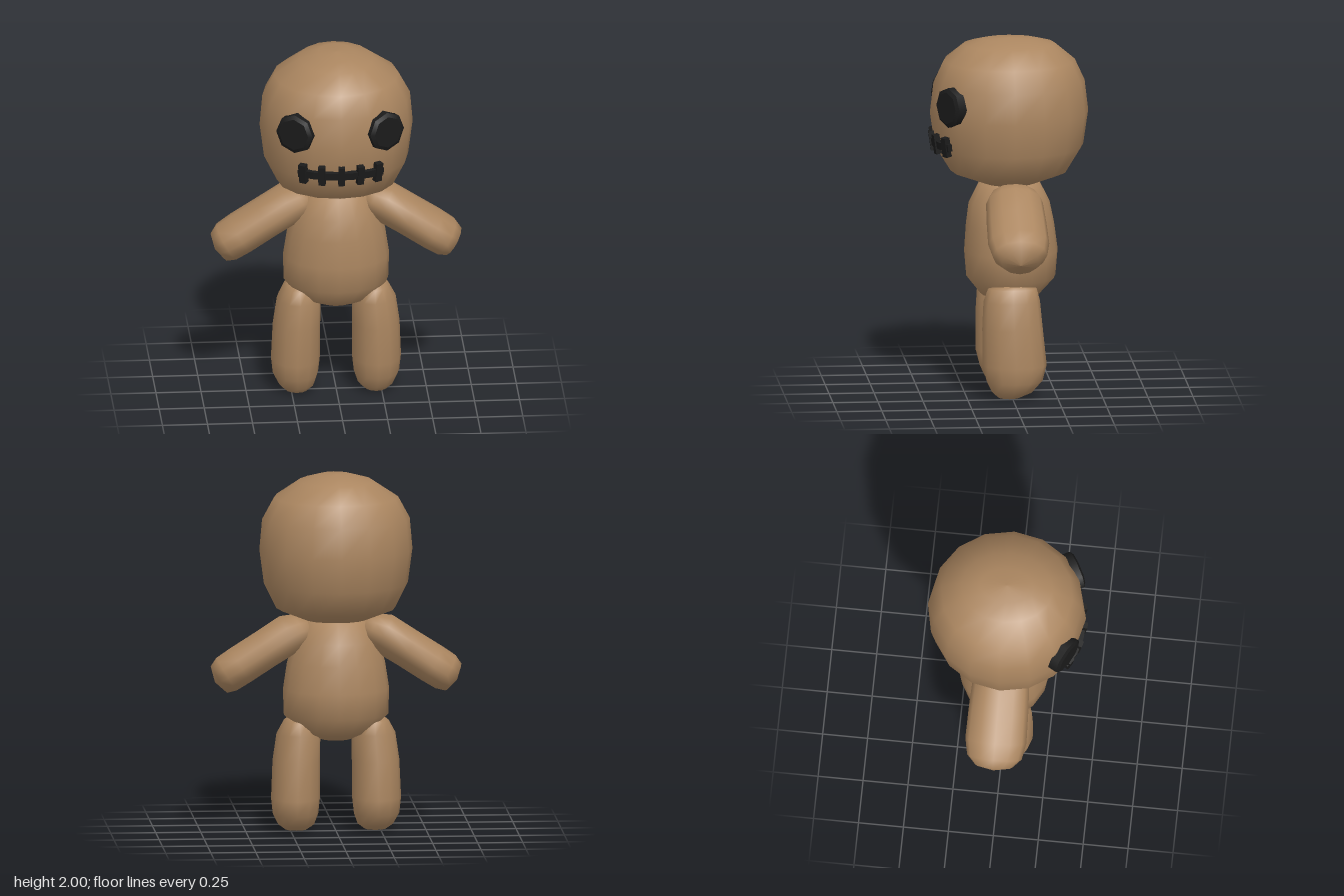
import * as THREE from 'three';

const burlap = new THREE.MeshStandardMaterial({ color: 0xab8660 });
burlap.name = 'burlap brown';
const black = new THREE.MeshStandardMaterial({ color: 0x1b1b1b });
black.name = 'button black';

// Smooth closed skin over elliptical rings [x, y, z, radius, depthRadius, tilt]
function loft(rings, sides) {
  const pos = [], index = [];
  for (const [x, y, z, ru, rv, tilt = 0] of rings) {
    for (let j = 0; j < sides; j++) {
      const t = (j / sides) * Math.PI * 2;
      const u = ru * Math.cos(t);
      pos.push(x + u * Math.cos(tilt), y + u * Math.sin(tilt), z + rv * Math.sin(t));
    }
  }
  const last = rings.length - 1;
  for (let i = 0; i < last; i++) {
    for (let j = 0; j < sides; j++) {
      const k = (j + 1) % sides;
      const a = i * sides + j, b = i * sides + k;
      index.push(a, a + sides, b, b, a + sides, b + sides);
    }
  }
  const geo = new THREE.BufferGeometry();
  geo.setAttribute('position', new THREE.Float32BufferAttribute(pos, 3));
  geo.setIndex(index);
  geo.computeVertexNormals();
  return geo;
}

function add(parent, name, geo, mat) {
  const mesh = new THREE.Mesh(geo, mat);
  mesh.name = name;
  parent.add(mesh);
  return mesh;
}

export function createModel() {
  const doll = new THREE.Group();
  doll.name = 'ragDoll';

  // Head: round sack, slightly flattened behind each button eye
  const head = loft([
    [0, 1.178, 0, 0, 0], [0, 1.185, 0, 0.17, 0.15], [0, 1.25, 0, 0.33, 0.325],
    [0, 1.39, 0, 0.4, 0.412], [0, 1.58, 0, 0.425, 0.44], [0, 1.75, 0, 0.41, 0.42],
    [0, 1.87, 0, 0.345, 0.365], [0, 1.962, 0, 0.205, 0.255], [0, 1.99, 0, 0.1, 0.15],
    [0, 2, 0, 0, 0],
  ], 16);
  const p = head.attributes.position;
  for (let i = 0; i < p.count; i++) {
    const x = p.getX(i), z = p.getZ(i);
    const over = Math.abs(x) * 0.5 + z * 0.866 - 0.418;
    if (over > 0 && Math.abs(x) > 0.05) p.setXYZ(i, x - Math.sign(x) * over * 0.5, p.getY(i), z - over * 0.866);
  }
  head.computeVertexNormals();
  add(doll, 'head', head, burlap);

  // Pear-shaped body
  add(doll, 'body', loft([
    [0, 0.508, 0, 0, 0], [0, 0.515, 0, 0.08, 0.07], [0, 0.555, -0.005, 0.18, 0.165],
    [0, 0.655, -0.01, 0.29, 0.248], [0, 0.8, -0.01, 0.295, 0.26], [0, 0.95, -0.005, 0.272, 0.245],
    [0, 1.07, 0, 0.235, 0.225], [0, 1.18, 0, 0.17, 0.17], [0, 1.22, 0, 0, 0],
  ], 16), burlap);

  for (const s of [1, -1]) {
    const side = s > 0 ? 'left' : 'right';

    // Arm: flattened sausage drooping outward
    const arm = [
      [0.135, 1.165, 0, 0], [0.15, 1.155, 0.06, 0.08], [0.19, 1.14, 0.09, 0.13],
      [0.255, 1.11, 0.113, 0.158], [0.39, 1.025, 0.11, 0.166], [0.53, 0.935, 0.111, 0.17],
      [0.608, 0.885, 0.108, 0.152], [0.65, 0.855, 0.088, 0.105], [0.672, 0.84, 0, 0],
    ].map(([x, y, ru, rv]) => [s * x, y, -0.008, ru, rv, s * -2.12]);
    add(doll, side + 'Arm', loft(arm, 12), burlap);

    // Leg: stubby sausage with a rounded foot
    const leg = [
      [0.22, 0, 0.02, 0, 0], [0.22, 0.008, 0.02, 0.06, 0.06], [0.22, 0.04, 0, 0.1, 0.115],
      [0.225, 0.1, -0.012, 0.126, 0.155], [0.225, 0.19, -0.012, 0.136, 0.178],
      [0.22, 0.4, 0, 0.132, 0.168], [0.208, 0.55, 0.003, 0.122, 0.157],
      [0.21, 0.62, 0, 0.082, 0.135], [0.22, 0.64, 0, 0.045, 0.07], [0.22, 0.645, 0, 0, 0],
    ].map(([x, ...rest]) => [s * x, ...rest]);
    add(doll, side + 'Leg', loft(leg, 12), burlap);

    // Eight-sided button eye with a bevelled rim
    const eye = new THREE.Group();
    eye.name = side + 'Eye';
    const rim = new THREE.CylinderGeometry(0.112, 0.112, 0.05, 8).rotateX(Math.PI / 2);
    const face = new THREE.CylinderGeometry(0.09, 0.112, 0.012, 8).rotateX(Math.PI / 2);
    add(eye, 'eyeRim', rim, black);
    add(eye, 'eyeFace', face, black).position.z = 0.031;
    eye.position.set(s * 0.245, 1.655, 0.34);
    eye.rotation.y = s * Math.PI / 6;
    doll.add(eye);
  }

  // Stitched mouth wrapped around the face
  const mouth = new THREE.Group();
  mouth.name = 'mouth';
  const curveZ = (x) => 0.425 * Math.sqrt(1 - (x / 0.41) ** 2);
  const strip = (name, x0, x1, height, depth, lift) => {
    const dx = x1 - x0, dz = curveZ(x1) - curveZ(x0);
    const geo = new THREE.BoxGeometry(Math.hypot(dx, dz) + 0.004, height, depth).rotateX(0.15);
    const mesh = add(mouth, name, geo, black);
    mesh.position.set((x0 + x1) / 2, 1.423, (curveZ(x0) + curveZ(x1)) / 2 + lift);
    mesh.rotation.y = -Math.atan2(dz, dx);
  };
  const steps = 6, half = 0.23;
  for (let i = 0; i < steps; i++) {
    strip('mouthLine', -half + (i * 2 * half) / steps, -half + ((i + 1) * 2 * half) / steps, 0.042, 0.03, -0.004);
  }
  for (const x of [-0.208, -0.108, 0, 0.105, 0.205]) strip('stitch', x - 0.016, x + 0.016, 0.11, 0.034, 0);
  doll.add(mouth);

  return doll;
}
